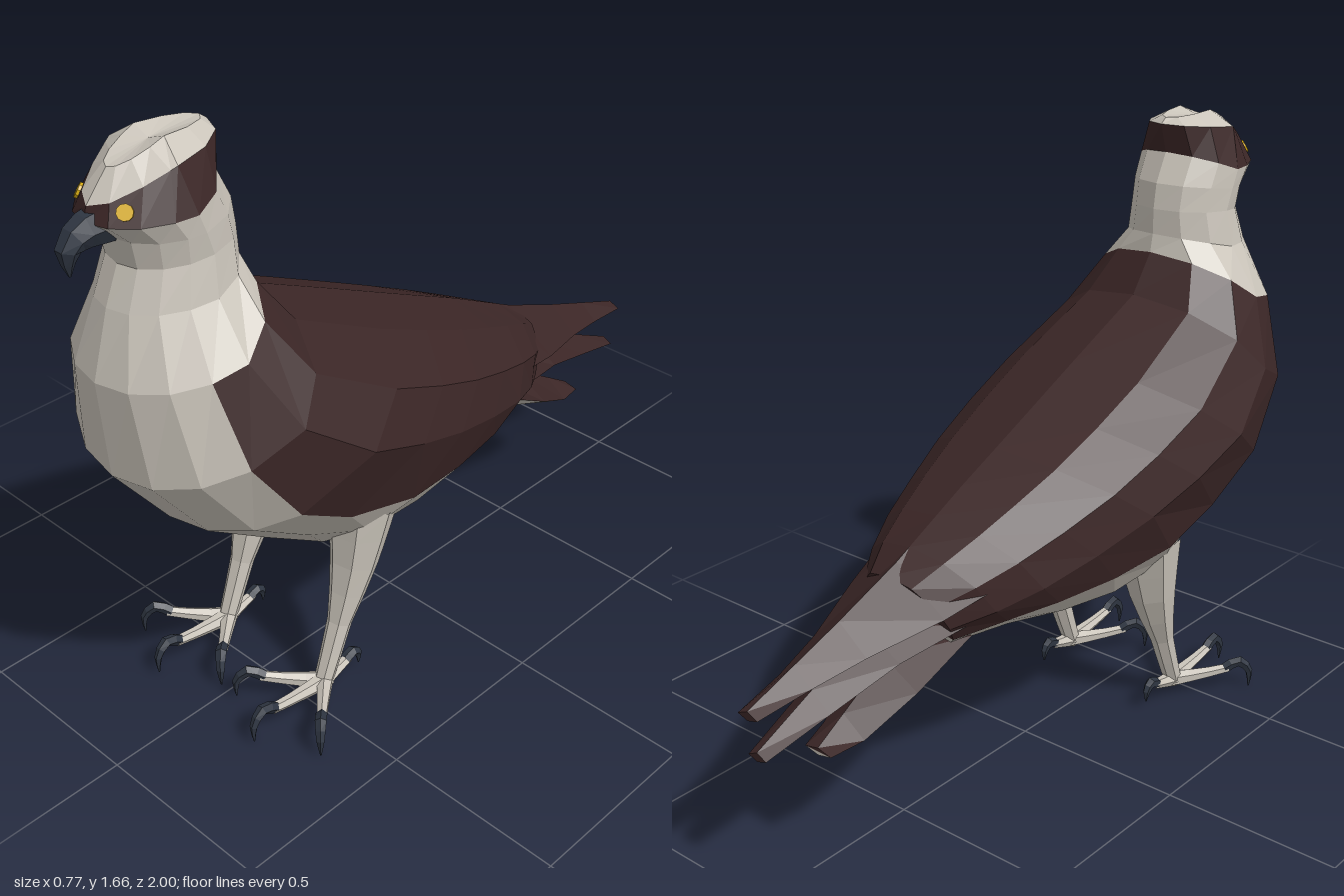
import * as THREE from 'three';

const paint = (name, color) => {
  const m = new THREE.MeshStandardMaterial({ color, flatShading: true });
  m.name = name;
  return m;
};

// Tube along a curve whose radius follows a list of radii
function taper(points, radii, sides = 6, segs = 6) {
  const curve = new THREE.CatmullRomCurve3(points.map(p => new THREE.Vector3(...p)));
  const geo = new THREE.TubeGeometry(curve, segs, 1, sides);
  const pos = geo.attributes.position, v = new THREE.Vector3();
  for (let k = 0; k < pos.count; k++) {
    const u = Math.floor(k / (sides + 1)) / segs;
    const f = u * (radii.length - 1), i = Math.min(Math.floor(f), radii.length - 2);
    const r = radii[i] + (radii[i + 1] - radii[i]) * (f - i);
    const c = curve.getPointAt(u);
    v.fromBufferAttribute(pos, k).sub(c).multiplyScalar(r).add(c);
    pos.setXYZ(k, v.x, v.y, v.z);
  }
  geo.computeVertexNormals();
  return geo;
}

// Capped skin over closed rings; pick(row, column) gives the material of each face
function loft(name, rings, pick) {
  const buckets = new Map(), n = rings[0].length, last = rings.length - 1;
  const tri = (m, ...pts) => {
    if (!buckets.has(m)) buckets.set(m, []);
    pts.forEach(p => buckets.get(m).push(...p));
  };
  const centre = r => [0, 1, 2].map(k => r.reduce((s, p) => s + p[k], 0) / n);
  for (let j = 0; j < n; j++) {
    const j2 = (j + 1) % n;
    for (let i = 0; i < last; i++) {
      const m = pick(i, j);
      tri(m, rings[i][j], rings[i][j2], rings[i + 1][j2]);
      tri(m, rings[i][j], rings[i + 1][j2], rings[i + 1][j]);
    }
    tri(pick(0, j), centre(rings[0]), rings[0][j2], rings[0][j]);
    tri(pick(last - 1, j), centre(rings[last]), rings[last][j], rings[last][j2]);
  }
  const group = new THREE.Group();
  group.name = name;
  for (const [m, list] of buckets) {
    const geo = new THREE.BufferGeometry();
    geo.setAttribute('position', new THREE.Float32BufferAttribute(list, 3));
    geo.computeVertexNormals();
    const mesh = new THREE.Mesh(geo, m);
    mesh.name = `${name} ${m.name}`;
    group.add(mesh);
  }
  return group;
}

// Ring from back point, widest point and front point; e places the colour edge
function bodyRing([bz, by, wx, wy, wz, fz, fy, e, q = 1]) {
  const half = [];
  for (let k = 0; k < 4; k++) {
    const a = k / 3 * Math.PI / 2, c = Math.cos(a);
    half.push([wx * Math.sin(a), wy + (by - wy) * c, wz + (bz - wz) * c]);
  }
  for (let k = 0; k < 4; k++) {
    const a = (e + (1 - e) * k / 3) * Math.PI / 2, s = Math.sin(a) ** q;
    half.push([k === 3 ? 0 : wx * Math.cos(a), wy + (fy - wy) * s, wz + (fz - wz) * s]);
  }
  const mirrored = half.slice(1, -1).reverse().map(([x, y, z]) => [-x, y, z]);
  return [...half, ...mirrored];
}

export function createModel() {
  const pale = paint('pale plumage', 0xcac4ba);
  const brown = paint('brown plumage', 0x3b2626);
  const slate = paint('slate horn', 0x2e3541);
  const yellow = paint('yellow iris', 0xd6ab12);
  const model = new THREE.Group();
  model.name = 'bird';
  const add = (name, geo, mat, parent = model) => {
    const mesh = new THREE.Mesh(geo, mat);
    mesh.name = name;
    parent.add(mesh);
    return mesh;
  };

  // Head: crown, upper mask edge, lower mask edge, jaw
  const head = [
    [0.60, 1.655, 0.05, 1.662, 0.74, 0.86, 1.615, 0.2],
    [0.58, 1.64, 0.115, 1.62, 0.76, 0.92, 1.545, 0.2, 2],
    [0.605, 1.56, 0.15, 1.51, 0.74, 0.93, 1.51, 0.2],
    [0.565, 1.48, 0.148, 1.46, 0.72, 0.87, 1.455, 0.2],
  ];
  // Neck, wings and belly, down to the tail root
  const trunk = [
    [0.555, 1.41, 0.145, 1.40, 0.70, 0.855, 1.385, 0.25],
    [0.555, 1.34, 0.162, 1.30, 0.71, 0.895, 1.29, 0.25],
    [0.545, 1.29, 0.25, 1.17, 0.71, 0.945, 1.12, 0.25],
    [0.47, 1.185, 0.34, 1.00, 0.63, 0.925, 0.86, 0.3],
    [0.20, 1.06, 0.385, 0.87, 0.45, 0.77, 0.66, 0.38],
    [0.03, 0.98, 0.375, 0.80, 0.27, 0.58, 0.53, 0.4],
    [-0.12, 0.91, 0.35, 0.74, 0.10, 0.40, 0.41, 0.3],
    [-0.25, 0.85, 0.305, 0.68, -0.08, 0.20, 0.385, 0.25],
    [-0.35, 0.80, 0.26, 0.635, -0.24, 0.00, 0.415, 0.22],
    [-0.45, 0.75, 0.205, 0.60, -0.36, -0.20, 0.46, 0.25],
    [-0.53, 0.70, 0.14, 0.57, -0.46, -0.40, 0.47, 0.3],
  ];
  const rings = [...head, ...trunk].map(bodyRing);
  model.add(loft('body', rings, (i, j) => {
    const column = Math.min(j, 13 - j);
    const isMask = i === 1, isWing = i >= 6 && column < 4;
    return isMask || isWing ? brown : pale;
  }));

  // Wing tips and tail: tapering blades, rows of [z, top, side, bottom, half width]
  const blade = (name, rows, under) => model.add(loft(name,
    rows.map(([z, t, s, b, w]) => [[0, t, z], [w, s, z], [0, b, z], [-w, s, z]]),
    (i, j) => (j === 1 || j === 2 ? under : brown)));
  blade('upperWingTips', [
    [-0.35, 0.80, 0.66, 0.62, 0.20],
    [-0.50, 0.725, 0.62, 0.60, 0.16],
    [-0.70, 0.645, 0.575, 0.56, 0.09],
    [-0.85, 0.59, 0.545, 0.53, 0.055],
    [-1.00, 0.535, 0.52, 0.51, 0.033],
  ], brown);
  blade('lowerWingTips', [
    [-0.40, 0.62, 0.57, 0.52, 0.16],
    [-0.60, 0.58, 0.52, 0.49, 0.10],
    [-0.80, 0.50, 0.455, 0.435, 0.06],
    [-0.98, 0.415, 0.40, 0.39, 0.03],
  ], brown);
  blade('tail', [
    [-0.38, 0.55, 0.52, 0.47, 0.14],
    [-0.55, 0.48, 0.42, 0.36, 0.11],
    [-0.70, 0.39, 0.34, 0.30, 0.07],
    [-0.79, 0.335, 0.325, 0.315, 0.045],
  ], pale);

  // Hooked beak
  const beak = taper([[0, 1.495, 0.87], [0, 1.49, 0.94], [0, 1.465, 0.975], [0, 1.40, 0.978]],
    [0.05, 0.042, 0.03, 0.003], 6, 6);
  add('beak', beak.scale(0.85, 1, 1), slate);

  for (const side of [-1, 1]) {
    // Eye disc lying on the mask
    const eye = add('eye', new THREE.CylinderGeometry(0.019, 0.019, 0.009, 10), yellow);
    const normal = new THREE.Vector3(side * 0.62, 0.49, 0.62).normalize();
    eye.quaternion.setFromUnitVectors(new THREE.Vector3(0, 1, 0), normal);
    eye.position.set(side * 0.076, 1.54, 0.877).addScaledVector(normal, 0.003);

    // Leg with feathered thigh
    const leg = new THREE.Group();
    leg.name = side > 0 ? 'leftLeg' : 'rightLeg';
    leg.position.x = side * 0.19;
    model.add(leg);
    add('shank', taper([[0, 0.56, 0.30], [0, 0.38, 0.335], [0, 0.20, 0.395], [0, 0.045, 0.455]],
      [0.095, 0.066, 0.034, 0.026], 7, 6), pale, leg);

    // Toes as [angle from forward, length, claw size]
    for (const [angle, length, size] of [[0, 0.19, 1], [0.75, 0.17, 1], [-0.75, 0.17, 1], [Math.PI, 0.09, 0.6]]) {
      const at = (d, y) => [Math.sin(angle) * d, y, 0.45 + Math.cos(angle) * d];
      const tip = 0.07 + 0.01 * (size - 1);
      add('toe', taper([at(-0.01, 0.045), at(length * 0.5, 0.055), at(length, tip)],
        [0.026, 0.018, 0.014], 6, 3), pale, leg);
      add('claw', taper([at(length - 0.012, tip), at(length + 0.03 * size, tip + 0.02 * size),
        at(length + 0.062 * size, tip - 0.012 * size), at(length + 0.064 * size, tip - 0.066 * size)],
        [0.016, 0.016, 0.011, 0.002], 5, 6), slate, leg);
    }
  }
  return model;
}
